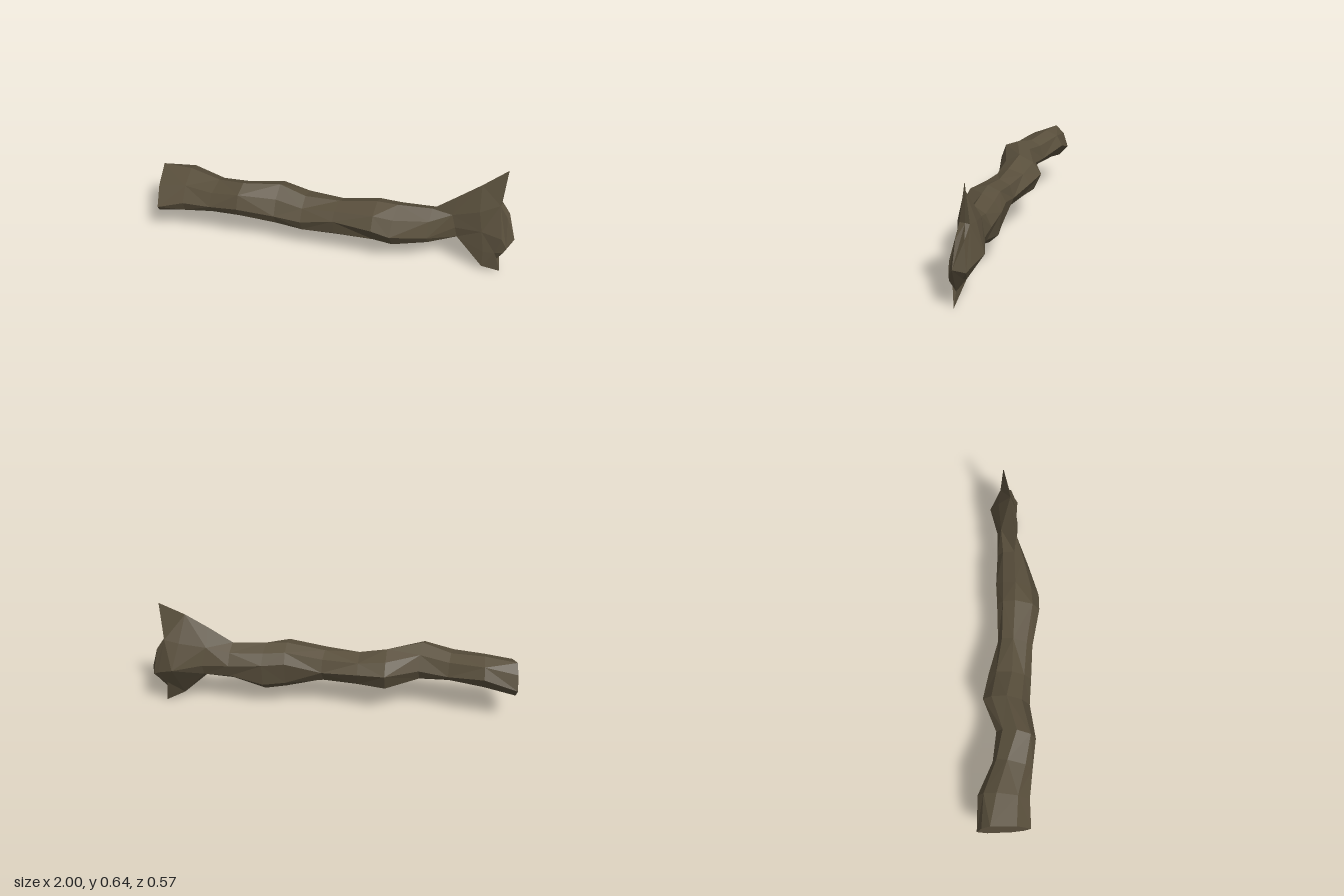
import * as THREE from 'three';

const SIDES = 8;

// Trunk stations: x, lean of x per unit z, then the extreme points of the section:
// bottom y and z, top y and z, back z and y, front z and y
const STATIONS = [
  [-0.962, 0.27, 0.15, 0.19, 0.365, 0.08, 0.01, 0.23, 0.287, 0.215],
  [-0.8, 0.15, 0.17, 0.16, 0.38, 0.08, -0.02, 0.29, 0.252, 0.26],
  [-0.62, 0, 0.195, 0.14, 0.366, 0.1, 0.02, 0.26, 0.237, 0.27],
  [-0.46, 0, 0.19, 0.13, 0.4, 0.12, 0.008, 0.28, 0.224, 0.29],
  [-0.28, 0.1, 0.148, 0.05, 0.382, 0.03, -0.1, 0.28, 0.155, 0.25],
  [-0.13, 0.1, 0.146, 0.04, 0.345, 0.03, -0.098, 0.27, 0.135, 0.24],
  [0.06, 0, 0.144, 0.04, 0.347, 0, -0.086, 0.25, 0.108, 0.28],
  [0.27, 0.1, 0.122, -0.05, 0.384, -0.03, -0.13, 0.3, 0.106, 0.28],
  [0.38, 0, 0.113, -0.09, 0.379, -0.05, -0.16, 0.29, 0.085, 0.25],
  [0.56, 0, 0.168, -0.11, 0.378, -0.09, -0.188, 0.28, -0.01, 0.23],
];

// Broken end rings, ordered top, front, bottom, back (x, y, z)
const FLARE = [
  [[0.69, 0.475, -0.125], [0.67, 0.36, -0.1], [0.69, 0.28, -0.1], [0.7, 0.21, -0.115],
    [0.69, 0.2, -0.15], [0.7, 0.215, -0.19], [0.7, 0.28, -0.217], [0.68, 0.38, -0.19]],
  [[0.8, 0.555, -0.16], [0.81, 0.4, -0.128], [0.83, 0.27, -0.13], [0.85, 0.14, -0.126],
    [0.85, 0.04, -0.125], [0.85, 0.165, -0.215], [0.85, 0.265, -0.288], [0.82, 0.41, -0.232]],
  [[0.92, 0.64, -0.222], [0.905, 0.43, -0.185], [0.94, 0.24, -0.145], [0.91, 0.135, -0.145],
    [0.945, 0, -0.168], [0.91, 0.15, -0.222], [0.94, 0.23, -0.262], [0.9, 0.425, -0.237]],
  [[0.905, 0.43, -0.215], [0.95, 0.36, -0.185], [0.968, 0.18, -0.155], [0.955, 0.145, -0.152],
    [0.92, 0.08, -0.17], [0.955, 0.17, -0.222], [0.972, 0.21, -0.25], [0.95, 0.36, -0.232]],
];
const TIP = [1, 0.225, -0.19];

// Section through four extreme points with a rounded corner between each pair
function trunkRing([x, lean, bottom, bottomZ, top, topZ, back, backY, front, frontY]) {
  const extremes = [[topZ, top], [front, frontY], [bottomZ, bottom], [back, backY]];
  const corners = [[front, top], [front, bottom], [back, bottom], [back, top]];
  const ring = [];
  extremes.forEach((p, i) => {
    const q = extremes[(i + 1) % 4];
    const bulge = 0.36 + 0.1 * Math.sin(i * 2.4 + x * 9);
    const mid = [0, 1].map((k) => ((p[k] + q[k]) / 2) * (1 - bulge) + corners[i][k] * bulge);
    ring.push(p, mid);
  });
  return ring.map(([z, y]) => [x + lean * (z - (back + front) / 2), y, z]);
}

// Skin consecutive rings, optionally closing either end to a point
function loft(rings, startPoint, endPoint) {
  const pos = [];
  const tri = (...corners) => corners.forEach((c) => pos.push(...c));
  const last = rings[rings.length - 1];
  for (let i = 0; i < SIDES; i++) {
    const j = (i + 1) % SIDES;
    for (let k = 0; k < rings.length - 1; k++) {
      const a = rings[k], b = rings[k + 1];
      if ((i + k) % 2) {
        tri(a[i], a[j], b[i]);
        tri(a[j], b[j], b[i]);
      } else {
        tri(a[i], a[j], b[j]);
        tri(a[i], b[j], b[i]);
      }
    }
    if (startPoint) tri(rings[0][j], rings[0][i], startPoint);
    if (endPoint) tri(last[i], last[j], endPoint);
  }
  const geo = new THREE.BufferGeometry();
  geo.setAttribute('position', new THREE.Float32BufferAttribute(pos, 3));
  geo.computeVertexNormals();
  return geo;
}

export function createModel() {
  const group = new THREE.Group();
  group.name = 'fallenLog';
  const bark = new THREE.MeshStandardMaterial({ color: 0x594f3c, flatShading: true });
  bark.name = 'bark';

  const add = (name, geo) => {
    const mesh = new THREE.Mesh(geo, bark);
    mesh.name = name;
    group.add(mesh);
  };

  // Trunk with its flat sawn end
  const rings = STATIONS.map(trunkRing);
  const sawnCentre = [0, 1, 2].map((k) => rings[0].reduce((s, p) => s + p[k], 0) / SIDES);
  add('trunk', loft(rings, sawnCentre, null));

  // Splintered end with a tall spike and a lower spur
  add('splinteredEnd', loft([rings[rings.length - 1], ...FLARE], null, TIP));
  return group;
}
